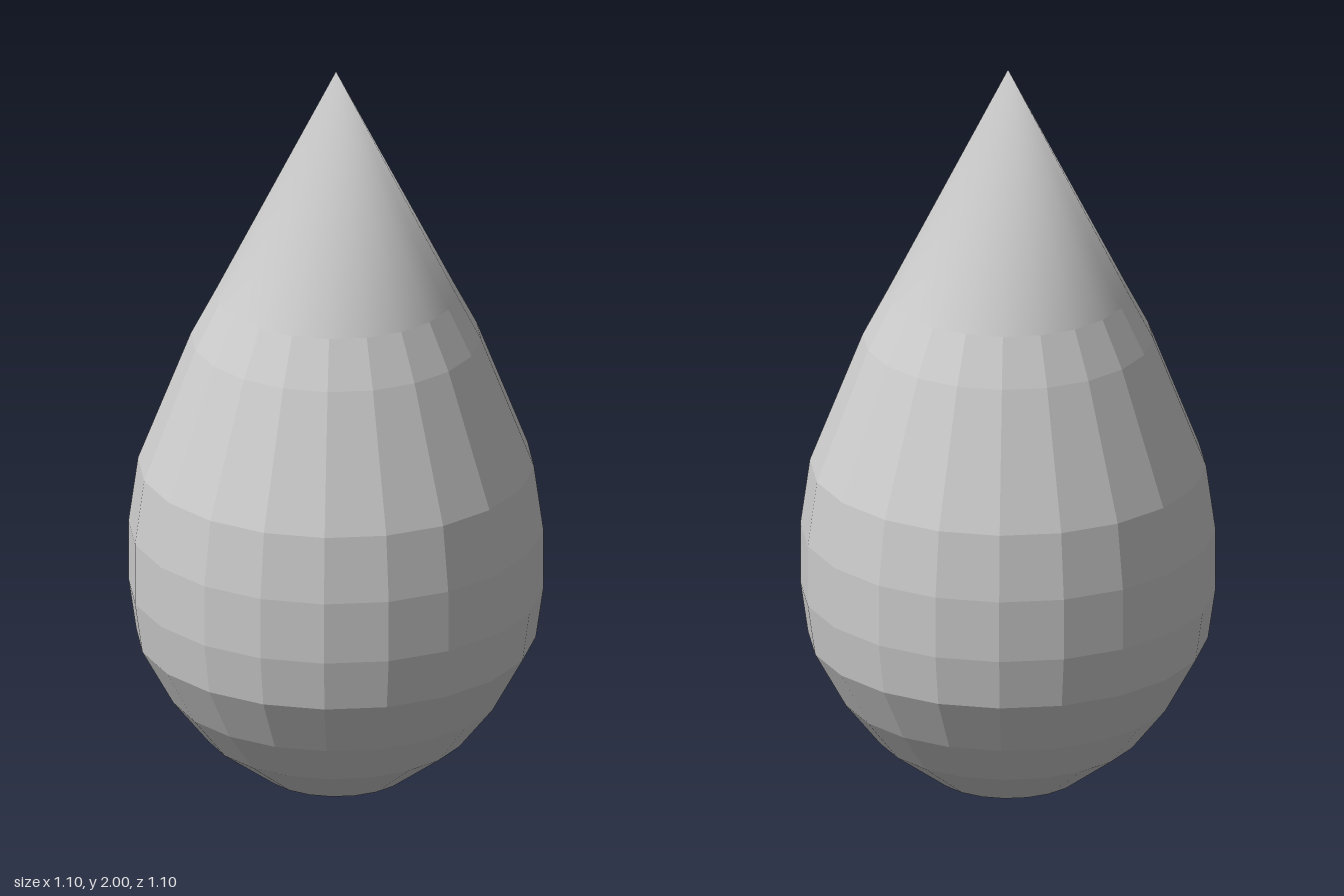
import * as THREE from 'three';
import { mergeVertices } from 'three/addons/utils/BufferGeometryUtils.js';

const SIDES = 20;

export function createModel() {
  const group = new THREE.Group();
  group.name = 'teardrop';

  // Faceted body with a flat closed base
  const profile = [
    [0, 0], [0.195, 0], [0.35, 0.115], [0.445, 0.235], [0.53, 0.39], [0.55, 0.53],
    [0.55, 0.7], [0.525, 0.88], [0.385, 1.24], [0.32, 1.365],
  ].map(([r, y]) => new THREE.Vector2(r, y));
  const body = new THREE.Mesh(
    new THREE.LatheGeometry(profile, SIDES),
    new THREE.MeshStandardMaterial({ color: 0xcccccc, flatShading: true }),
  );
  body.name = 'body';

  // Smooth pointed tip, its apex shared by all sides so the shading rounds over
  const [rim, top] = [profile.at(-1), 2];
  let cone = new THREE.ConeGeometry(rim.x, top - rim.y, SIDES, 1, true);
  cone.deleteAttribute('normal');
  cone.deleteAttribute('uv');
  cone = mergeVertices(cone);
  cone.computeVertexNormals();
  const tip = new THREE.Mesh(cone, new THREE.MeshStandardMaterial({ color: 0xcccccc }));
  tip.name = 'tip';
  tip.position.y = (rim.y + top) / 2;

  group.add(body, tip);
  return group;
}
